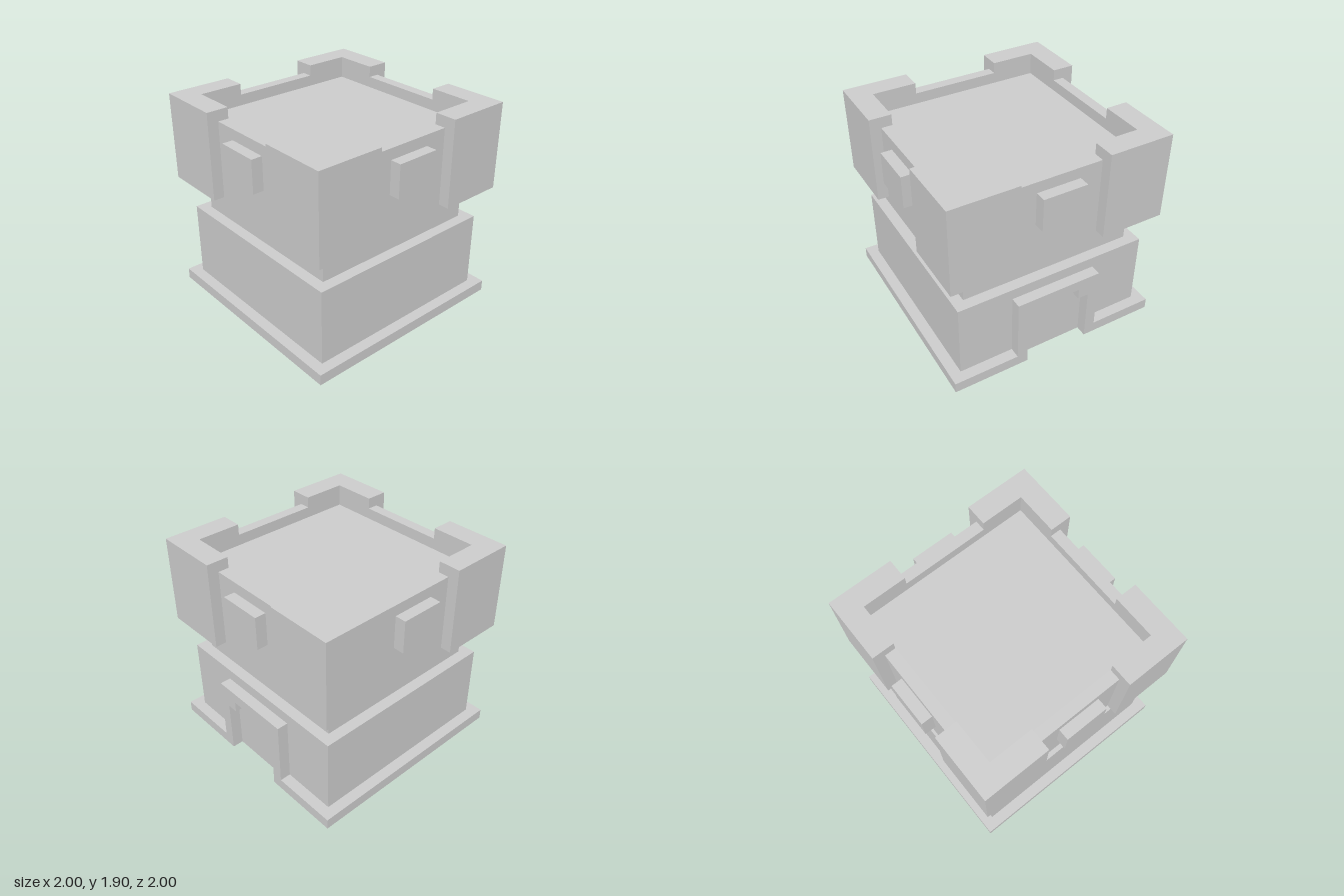
import * as THREE from 'three';

const material = new THREE.MeshStandardMaterial({ color: 0xcccccc, flatShading: true });

function add(parent, name, geometry) {
  const mesh = new THREE.Mesh(geometry, material);
  mesh.name = name;
  parent.add(mesh);
  return mesh;
}

// Box given by its lower and upper corners
function box(x0, y0, z0, x1, y1, z1) {
  return new THREE.BoxGeometry(x1 - x0, y1 - y0, z1 - z0)
    .translate((x0 + x1) / 2, (y0 + y1) / 2, (z0 + z1) / 2);
}

function extrude(points, depth) {
  const shape = new THREE.Shape(points.map(([x, y]) => new THREE.Vector2(x, y)));
  return new THREE.ExtrudeGeometry(shape, { depth, bevelEnabled: false });
}

// Floor plan (x, -z) raised from y0 to y1
function raisePlan(points, y0, y1) {
  return extrude(points, y1 - y0).rotateX(-Math.PI / 2).translate(0, y0, 0);
}

export function createModel() {
  const tower = new THREE.Group();
  tower.name = 'tower';

  // Plinth, notched at the back for the doorway
  add(tower, 'plinth', raisePlan([
    [-1, -1], [1, -1], [1, 1], [0.3, 1], [0.3, 0.9], [-0.3, 0.9], [-0.3, 1], [-1, 1],
  ], 0, 0.1));

  // Stacked body
  add(tower, 'lowerBody', box(-0.9, 0.1, -0.9, 0.9, 0.8, 0.9));
  add(tower, 'neck', box(-0.8, 0.8, -0.8, 0.8, 1.1, 0.8));
  add(tower, 'roofDeck', box(-0.8, 1.1, -0.8, 0.8, 1.7, 0.8));

  // Stepped door frame on the back wall
  add(tower, 'doorFrame', extrude([
    [0.3, 0.1], [0.4, 0.1], [0.4, 0.7], [-0.4, 0.7], [-0.4, 0.1], [-0.3, 0.1],
    [-0.3, 0.5], [-0.2, 0.5], [-0.2, 0.6], [0.2, 0.6], [0.2, 0.5], [0.3, 0.5],
  ], 0.1).translate(0, 0, -1));

  // Each side: parapet wall, raised window block and one L-shaped corner turret
  const wall = box(-0.4, 1.1, 0.8, 0.4, 1.8, 0.9);
  const windowBlock = box(-0.2, 1.4, 0.9, 0.2, 1.7, 1);
  const turret = raisePlan([
    [0.4, 0.8], [0.8, 0.8], [0.8, 0.4], [1, 0.4], [1, 1], [0.4, 1],
  ], 1.1, 1.9);
  ['front', 'left', 'back', 'right'].forEach((label, i) => {
    const side = new THREE.Group();
    side.name = `${label}Battlement`;
    side.rotation.y = i * Math.PI / 2;
    add(side, 'parapetWall', wall);
    add(side, 'windowBlock', windowBlock);
    add(side, 'cornerTurret', turret);
    tower.add(side);
  });

  return tower;
}
